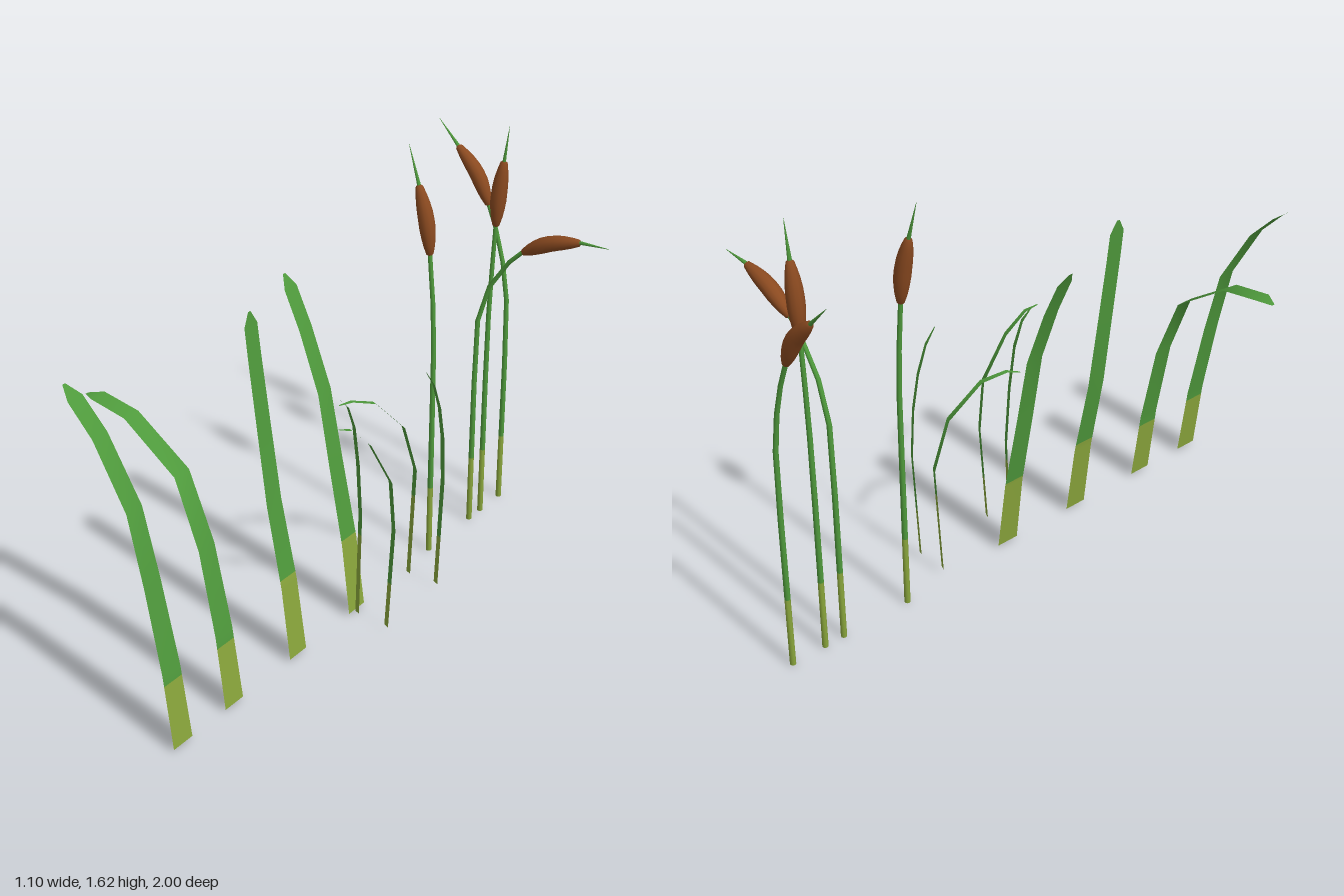
import * as THREE from 'three';

const mat = (name, color, side = THREE.FrontSide) => {
  const m = new THREE.MeshStandardMaterial({ color, side });
  m.name = name;
  return m;
};

function build(positions, index) {
  const g = new THREE.BufferGeometry();
  g.setAttribute('position', new THREE.Float32BufferAttribute(positions, 3));
  g.setIndex(index);
  g.computeVertexNormals();
  return g;
}

// Cuts a path of [x, y, ...] points at a height and returns the two pieces
function splitAt(path, y) {
  const i = path.findIndex(p => p[1] > y);
  const a = path[i - 1], b = path[i], t = (y - a[1]) / (b[1] - a[1]);
  const mid = a.map((v, k) => v + (b[k] - v) * t);
  return [[...path.slice(0, i), mid], [mid, ...path.slice(i)]];
}

// Flat ribbon along [x, y, z, halfWidth] points, spread along the direction (dx, dz)
function ribbon(path, dx, dz) {
  const pos = [], idx = [];
  path.forEach(([x, y, z, w], i) => {
    pos.push(x - dx * w, y, z - dz * w, x + dx * w, y, z + dz * w);
    if (i) {
      const a = 2 * i - 2;
      idx.push(a, a + 2, a + 1, a + 1, a + 2, a + 3);
    }
  });
  return build(pos, idx);
}

// Round tube along [x, y, radius] points lying in the xy plane
function tube(path, sides) {
  const pos = [], idx = [], n = path.length;
  path.forEach(([x, y, r], i) => {
    const a = path[Math.max(i - 1, 0)], b = path[Math.min(i + 1, n - 1)];
    const len = Math.hypot(b[0] - a[0], b[1] - a[1]) || 1;
    const tx = (b[0] - a[0]) / len, ty = (b[1] - a[1]) / len;
    for (let j = 0; j < sides; j++) {
      const t = j / sides * Math.PI * 2, c = Math.cos(t) * r;
      pos.push(x - ty * c, y + tx * c, Math.sin(t) * r);
      if (i) {
        const k = (j + 1) % sides, p = (i - 1) * sides, q = i * sides;
        idx.push(p + j, p + k, q + j, p + k, q + k, q + j);
      }
    }
  });
  return build(pos, idx);
}

export function createModel() {
  const root = new THREE.Group();
  const green = mat('leaf green', 0x4f9a3c, THREE.DoubleSide);
  const olive = mat('yellow green', 0x8aa63c, THREE.DoubleSide);
  const brown = mat('seed head brown', 0x8b4a20);

  const add = (parent, name, geometry, material) => {
    const m = new THREE.Mesh(geometry, material);
    m.name = name;
    parent.add(m);
    return m;
  };
  const group = name => {
    const g = new THREE.Group();
    g.name = name;
    root.add(g);
    return g;
  };
  const blade = (name, path, split, dx, dz) => {
    const g = group(name), [low, high] = splitAt(path, split);
    add(g, 'bladeBase', ribbon(low, dx, dz), olive);
    add(g, 'bladeTop', ribbon(high, dx, dz), green);
  };

  // Broad leaves, all bending toward -x
  const broadWidths = [0.045, 0.042, 0.038, 0.035, 0.033, 0.032, 0.006];
  const broadLeaves = [
    { z: 0.955, split: 0.25, top: [[-0.12, 0.85], [-0.245, 1.07], [-0.34, 1.17], [-0.385, 1.205]] },
    { z: 0.697, split: 0.245, top: [[-0.155, 0.845], [-0.363, 0.99], [-0.51, 1.013], [-0.56, 1.005]] },
    { z: 0.352, split: 0.32, top: [[-0.1, 0.89], [-0.13, 1.13], [-0.142, 1.24], [-0.147, 1.287]] },
    { z: 0.01, split: 0.305, top: [[-0.11, 0.86], [-0.19, 1.08], [-0.252, 1.215], [-0.28, 1.26]] },
  ];
  for (const { z, split, top } of broadLeaves) {
    const path = [[0.03, 0.01], [-0.004, 0.29], [-0.063, 0.6], ...top];
    blade('broadLeaf', path.map(([x, y], i) => [x, y, z, broadWidths[i]]), split, 0, 1);
  }

  // Narrow leaves, arching toward the front
  const narrowWidths = [0.012, 0.012, 0.012, 0.011, 0.009, 0.003];
  const narrowLeaves = [
    { split: 0.35, path: [[0.055, 0.02, -0.28], [0.06, 0.46, -0.303], [0.042, 0.655, -0.25],
      [-0.005, 0.785, -0.14], [-0.045, 0.812, -0.06], [-0.07, 0.805, -0.02]] },
    { split: 0.22, path: [[0.175, 0.02, -0.285], [0.18, 0.46, -0.305], [0.184, 0.64, -0.29],
      [0.186, 0.775, -0.262], [0.185, 0.88, -0.225], [0.177, 0.94, -0.19]] },
    { split: 0.35, path: [[0.055, 0.02, 0.04], [0.058, 0.43, 0.027], [0.061, 0.65, 0.046],
      [0.063, 0.81, 0.072], [0.063, 0.9, 0.107], [0.056, 0.94, 0.142]] },
    { split: 0.2, path: [[0.188, 0.02, 0.045], [0.198, 0.42, 0.022], [0.194, 0.62, 0.038],
      [0.165, 0.795, 0.12], [0.14, 0.875, 0.19], [0.124, 0.89, 0.235]] },
  ];
  for (const { split, path } of narrowLeaves) {
    blade('narrowLeaf', path.map((p, i) => [...p, narrowWidths[i]]), split, 0.93, 0.36);
  }

  // Reeds: jointed stem, rounded seed head and thin spike
  const headRadii = [0, 0.013, 0.021, 0.026, 0.029, 0.029, 0.028, 0.025, 0.02, 0.013, 0];
  const reeds = [
    { z: -0.478, stem: [[0.011, 0.6], [0.01, 0.86], [0.002, 1.04]],
      head: [[-0.015, 1.22], [-0.035, 1.355], [-0.07, 1.48]], tip: [-0.113, 1.615] },
    { z: -0.757, stem: [[0.011, 0.6], [0.016, 0.87], [0.06, 1.02], [0.14, 1.14]],
      head: [[0.19, 1.19], [0.3, 1.253], [0.428, 1.29]], tip: [0.54, 1.295] },
    { z: -0.836, stem: [[0.011, 0.6], [0.013, 0.86], [0.019, 1.04]],
      head: [[0.027, 1.22], [0.036, 1.355], [0.052, 1.485]], tip: [0.068, 1.615] },
    { z: -0.971, stem: [[0.011, 0.6], [0.006, 0.87], [-0.018, 1.02], [-0.052, 1.14]],
      head: [[-0.088, 1.23], [-0.147, 1.345], [-0.238, 1.44]], tip: [-0.322, 1.525] },
  ];
  for (const { z, stem, head, tip } of reeds) {
    const g = group('reed');
    g.position.z = z;
    const stemPath = [[0.011, 0, 0], [0.011, 0.001, 0.011],
      ...stem.map(([x, y], i) => [x, y, 0.01 - i * 0.0007]), [...head[1], 0.007]];
    stemPath.splice(-1, 0, [...head[0], 0.008]);
    const [low, high] = splitAt(stemPath, 0.28);
    add(g, 'stemBase', tube(low, 8), olive);
    add(g, 'stem', tube(high, 8), green);

    const curve = new THREE.CatmullRomCurve3(head.map(([x, y]) => new THREE.Vector3(x, y, 0)));
    const headPath = headRadii.map((r, i) => {
      const p = curve.getPoint(Math.min(1, Math.max(0, (i - 0.7) / (headRadii.length - 2.4))));
      return [p.x, p.y, r];
    });
    add(g, 'seedHead', tube(headPath, 12), brown);

    const end = head[2], mid = [0, 1].map(k => end[k] * 0.55 + tip[k] * 0.45);
    add(g, 'spike', tube([[...head[1], 0.007], [...end, 0.007], [...mid, 0.004], [...tip, 0.0005]], 6), green);
  }
  return root;
}
